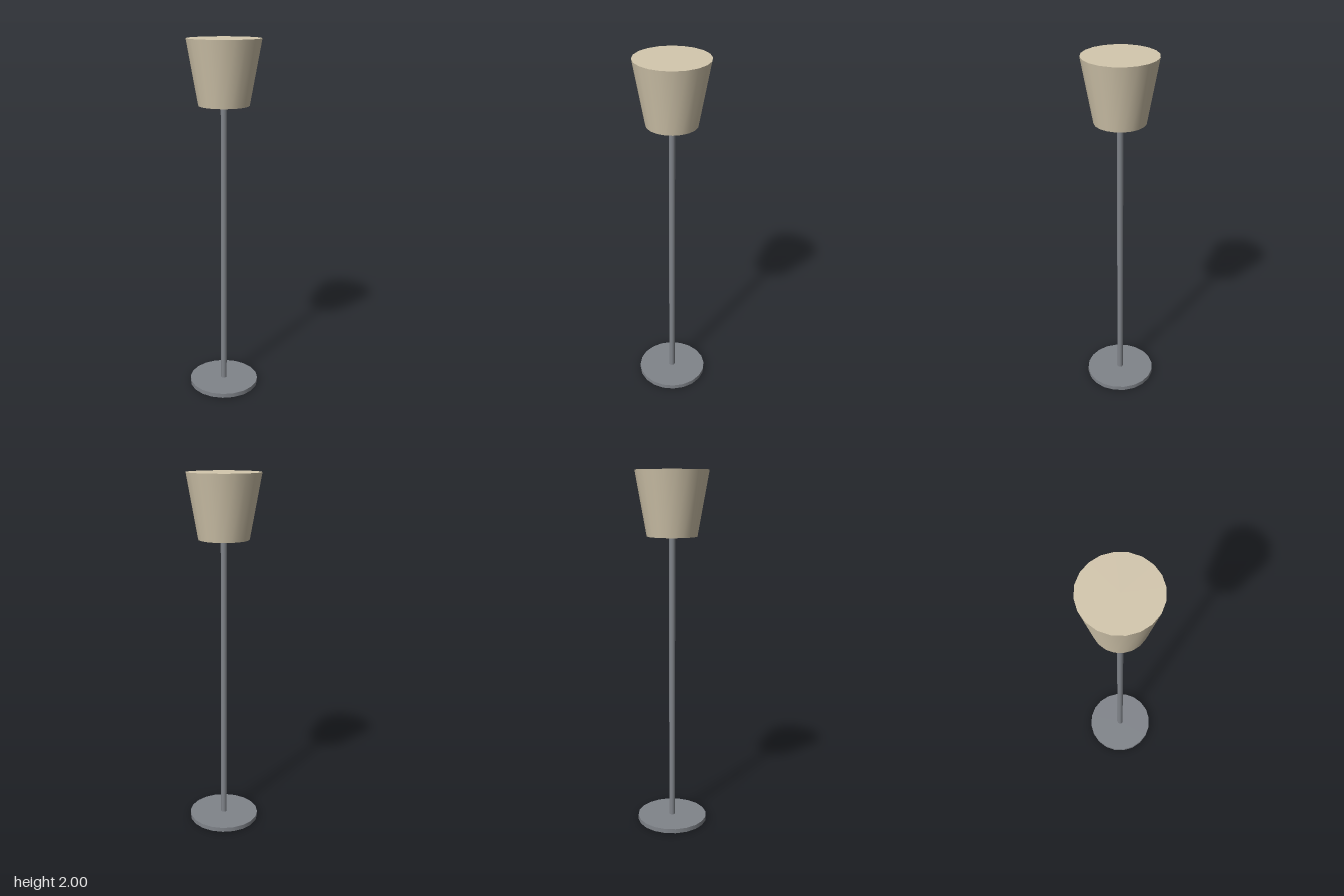
import * as THREE from 'three';

// Upright closed cylinder or cone section spanning y0..y1
function column(name, rTop, rBottom, y0, y1, sides, material) {
  const geometry = new THREE.CylinderGeometry(rTop, rBottom, y1 - y0, sides);
  const mesh = new THREE.Mesh(geometry, material);
  mesh.name = name;
  mesh.position.y = (y0 + y1) / 2;
  return mesh;
}

export function createModel() {
  const metal = new THREE.MeshStandardMaterial({ color: 0x80848a });
  const fabric = new THREE.MeshStandardMaterial({ color: 0xd4c8ae });

  const lamp = new THREE.Group();
  lamp.name = 'floorLamp';
  lamp.add(
    column('base', 0.2, 0.2, 0, 0.025, 20, metal),
    column('pole', 0.017, 0.017, 0.025, 1.66, 12, metal),
    // Shade widens towards the top and is closed at both ends
    column('shade', 0.2, 0.138, 1.652, 2, 20, fabric),
  );
  return lamp;
}
